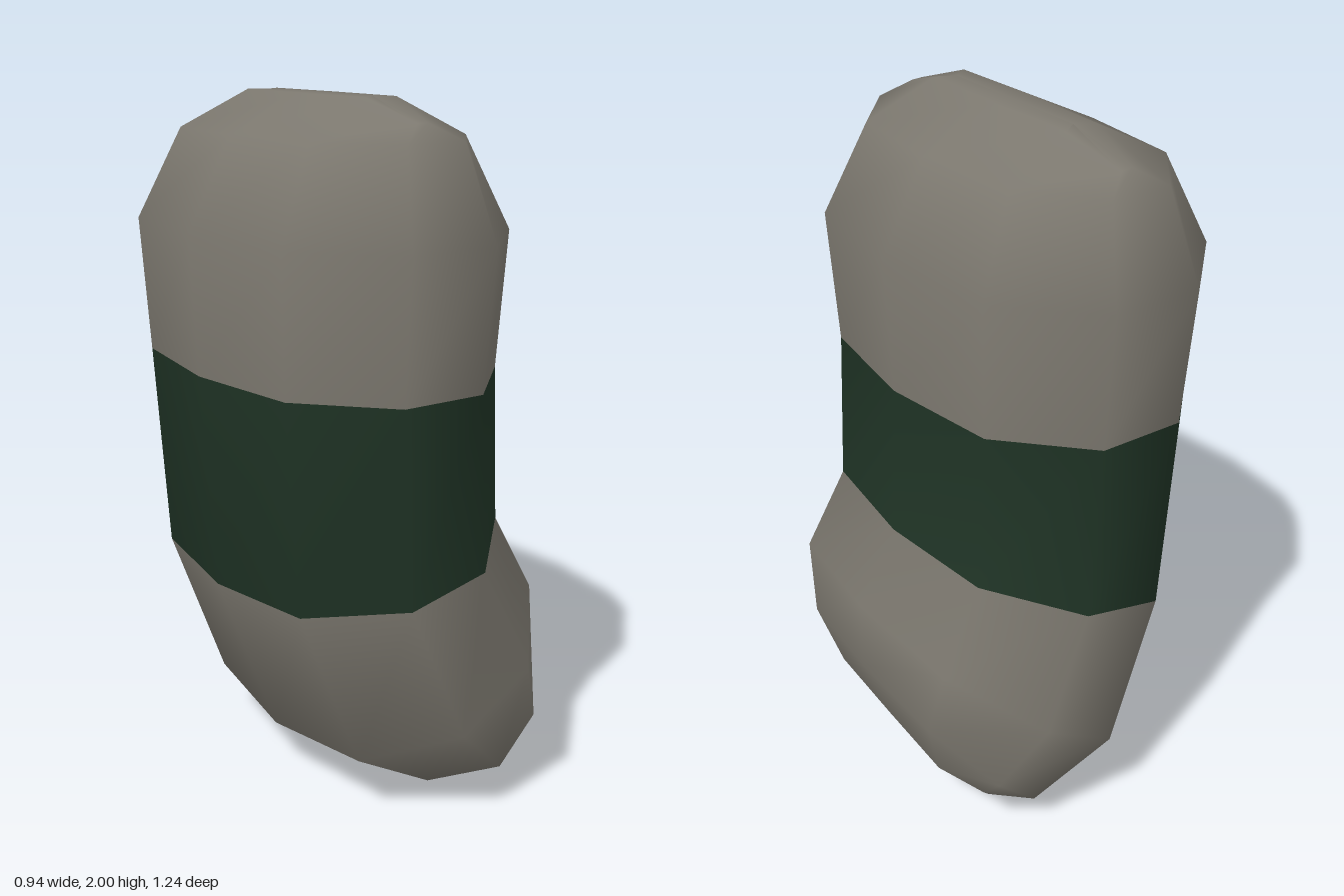
import * as THREE from 'three';

// Ten-sided outline (u across, w along z), point-symmetric about its centre
const HALF = [[-0.36, -0.98], [-0.91, -0.6], [-1, 0.04], [-0.84, 0.64], [-0.28, 1]];
const RING = [...HALF, ...HALF.map(([u, w]) => [-u, -w])];
const N = RING.length;

// Rows from bottom to top: left point, right point, half depth,
// shift of the two ends, and the depth limit of the closing ridges
const none = [0, 0];
const ROWS = [
  { l: [0.355, 0.13], r: [0.355, 0.13], d: 0.48, ends: none, limit: 0.27 },
  { l: [0.32, 0.09], r: [0.39, 0.17], d: 0.48, ends: [-0.026, 0.042] },
  { l: [0.07, 0], r: [0.47, 0.39], d: 0.54, ends: none },
  { l: [-0.23, 0.17], r: [0.47, 0.61], d: 0.62, ends: none },
  { l: [-0.41, 0.66], r: [0.35, 0.83], d: 0.59, ends: none },
  { l: [-0.45, 1.27], r: [0.33, 1.27], d: 0.59, ends: none },
  { l: [-0.47, 1.65], r: [0.35, 1.65], d: 0.62, ends: none },
  { l: [-0.34, 1.9], r: [0.22, 1.9], d: 0.54, ends: none },
  { l: [-0.12, 2], r: [0, 2], d: 0.49, ends: [0, -0.055] },
  { l: [-0.06, 2], r: [-0.06, 2], d: 0.49, ends: none, limit: 0.27 },
];

function rowPoints({ l, r, d, ends, limit = 1 }) {
  return RING.flatMap(([u, w]) => {
    const t = (u + 1) / 2;
    const k = Math.abs(w) > 0.9 ? 1 : 0;
    return [
      l[0] + (r[0] - l[0]) * t + ends[0] * k,
      l[1] + (r[1] - l[1]) * t + ends[1] * k,
      THREE.MathUtils.clamp(w * d, -limit, limit),
    ];
  });
}

function stripIndex(rows) {
  const index = [];
  for (let j = 0; j < rows - 1; j++) {
    for (let i = 0; i < N; i++) {
      const a = j * N + i, b = j * N + (i + 1) % N;
      index.push(a, b, b + N, a, b + N, a + N);
    }
  }
  return index;
}

export function createModel() {
  const group = new THREE.Group();
  group.name = 'bandedPillow';

  // Whole skin, so that shading runs smoothly across the parts
  const skin = new THREE.BufferGeometry();
  skin.setAttribute('position', new THREE.Float32BufferAttribute(ROWS.flatMap(rowPoints), 3));
  skin.setIndex(stripIndex(ROWS.length));
  skin.computeVertexNormals();

  // Cut a range of rows out of the skin as one part
  const addPart = (name, first, last, color) => {
    const geometry = new THREE.BufferGeometry();
    for (const key of ['position', 'normal']) {
      const part = skin.attributes[key].array.slice(first * N * 3, (last + 1) * N * 3);
      geometry.setAttribute(key, new THREE.BufferAttribute(part, 3));
    }
    geometry.setIndex(stripIndex(last - first + 1));
    const mesh = new THREE.Mesh(geometry, new THREE.MeshStandardMaterial({ color }));
    mesh.name = name;
    group.add(mesh);
  };

  addPart('lowerEnd', 0, 4, 0x7c786f);
  addPart('middleBand', 4, 5, 0x1f3325);
  addPart('upperEnd', 5, 9, 0x7c786f);
  return group;
}
